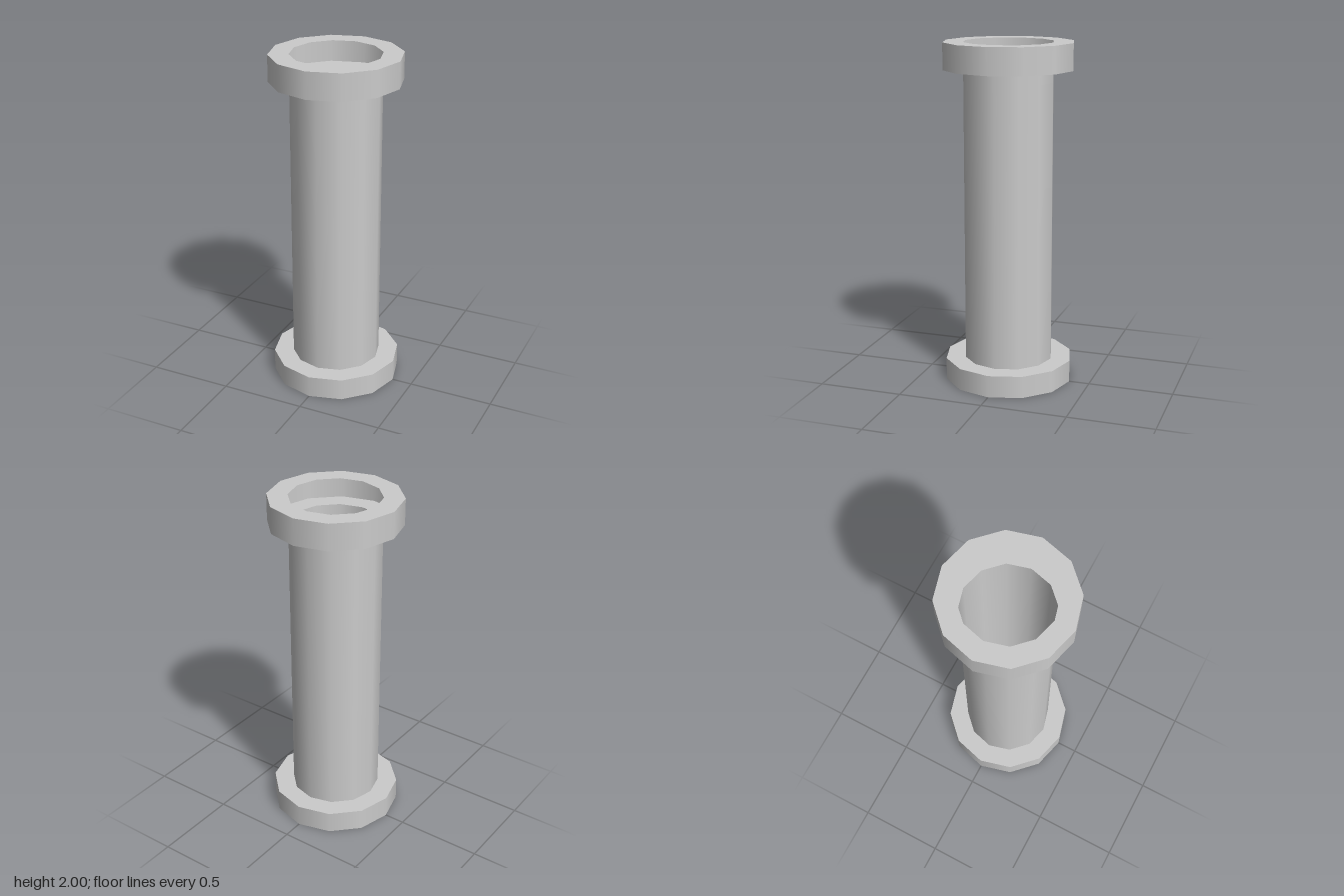
import * as THREE from 'three';
import { mergeGeometries } from 'three/addons/utils/BufferGeometryUtils.js';

const SIDES = 12;
const TUBE_R = 0.262;
const FLANGE_R = 0.379;
const HEIGHT = 2;
const BOTTOM_H = 0.13;
const TOP_Y = 1.845;

// Revolves each profile segment on its own: smooth around, sharp along the profile.
function revolve(profile) {
  const bands = [];
  for (let i = 0; i < profile.length - 1; i++) {
    const pair = [profile[i], profile[i + 1]].map(([r, y]) => new THREE.Vector2(r, y));
    bands.push(new THREE.LatheGeometry(pair, SIDES));
  }
  return mergeGeometries(bands);
}

export function createModel() {
  const group = new THREE.Group();
  group.name = 'flangedPipe';
  const material = new THREE.MeshStandardMaterial({ color: 0xcccccc, side: THREE.DoubleSide });

  const add = (name, profile) => {
    const mesh = new THREE.Mesh(revolve(profile), material);
    mesh.name = name;
    group.add(mesh);
  };

  // Hollow flange shell: lower ring, outer wall, upper ring; open towards the bore
  const flange = (y0, y1) => [[TUBE_R, y0], [FLANGE_R, y0], [FLANGE_R, y1], [TUBE_R, y1]];

  add('bottomFlange', flange(0, BOTTOM_H));
  add('topFlange', flange(TOP_Y, HEIGHT));

  // Thin open tube between the flanges
  add('tube', [[TUBE_R, BOTTOM_H], [TUBE_R, TOP_Y]]);

  return group;
}
